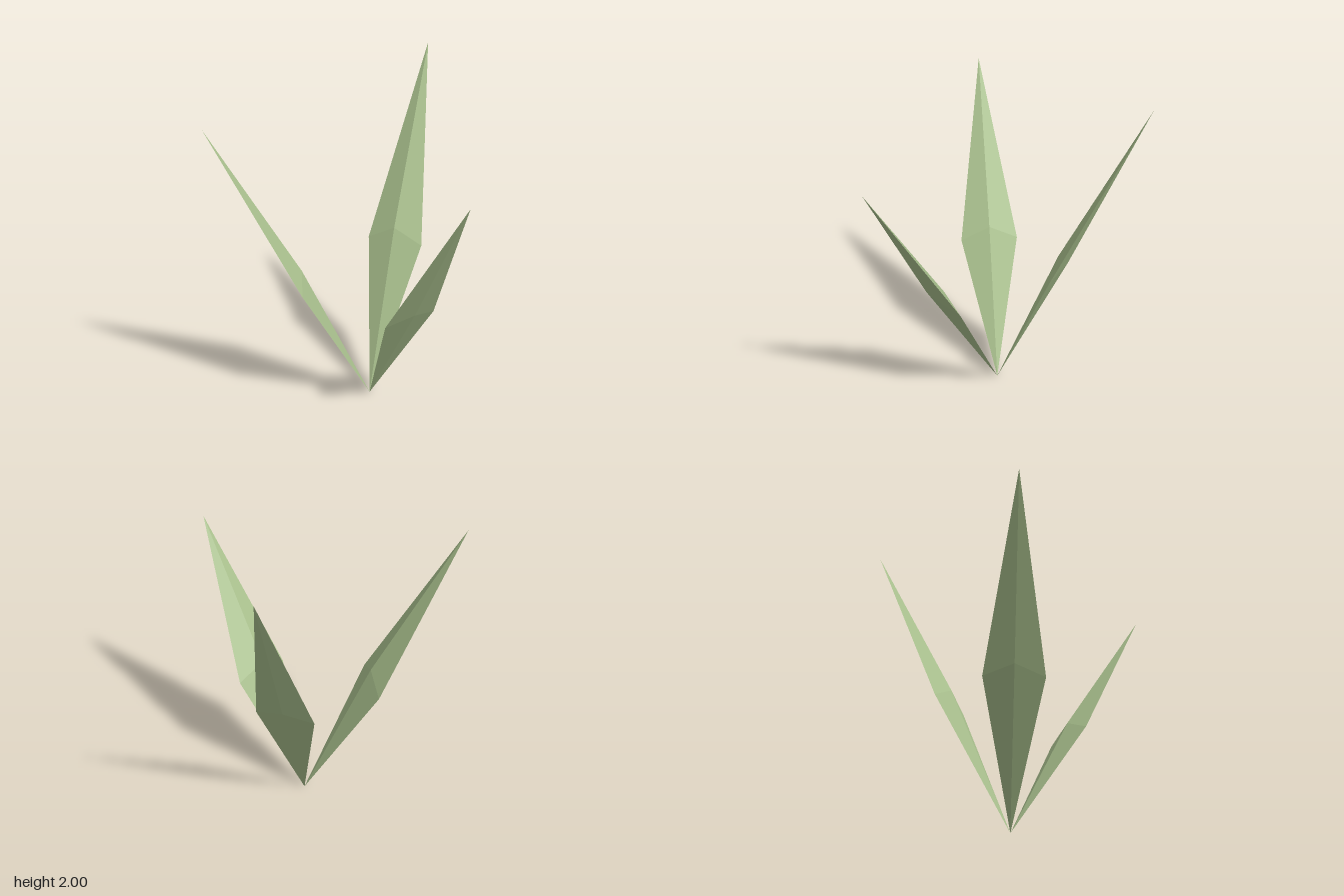
import * as THREE from 'three';

const leafGreen = new THREE.MeshStandardMaterial({ color: 0xa9c08d });
leafGreen.name = 'leafGreen';

const ROOT = new THREE.Vector3(-0.105, 0, -0.14);

// One pointed blade: ridged on its inner face, slightly bulged on its outer face
function leafGeometry(tip) {
  const axis = tip.clone().sub(ROOT);
  const across = new THREE.Vector3(axis.z, 0, -axis.x).normalize();
  const inward = new THREE.Vector3().crossVectors(axis, across).normalize();
  const at = (t, side, lift) => ROOT.clone()
    .addScaledVector(axis, t)
    .addScaledVector(across, side)
    .addScaledVector(inward, lift);

  const left = at(0.433, 0.178, 0);
  const right = at(0.433, -0.178, 0);
  const ridge = at(0.47, 0, 0.05);
  const keel = at(0.47, 0, -0.02);

  const corners = [
    // inner face
    ROOT, left, ridge, left, tip, ridge,
    tip, right, ridge, right, ROOT, ridge,
    // outer face
    left, ROOT, keel, tip, left, keel,
    right, tip, keel, ROOT, right, keel,
  ];
  // corners above run clockwise seen from outside, so swap each pair
  for (let i = 0; i < corners.length; i += 3) {
    const [a, b, c] = corners.slice(i, i + 3);
    const normal = b.clone().sub(a).cross(c.clone().sub(a));
    const outward = i < 12 ? inward : inward.clone().negate();
    if (normal.dot(outward) < 0) [corners[i], corners[i + 1]] = [b, a];
  }
  const geometry = new THREE.BufferGeometry().setFromPoints(corners);
  geometry.computeVertexNormals();
  return geometry;
}

export function createModel() {
  const plant = new THREE.Group();
  plant.name = 'plant';

  // Three blades fanning out from a shared root
  const tips = {
    tallLeaf: [0.79, 2.0, -0.42],
    backLeaf: [-0.8, 1.79, -0.785],
    frontLeaf: [-0.315, 1.575, 0.78],
  };
  for (const [name, tip] of Object.entries(tips)) {
    const leaf = new THREE.Mesh(leafGeometry(new THREE.Vector3(...tip)), leafGreen);
    leaf.name = name;
    plant.add(leaf);
  }
  return plant;
}
